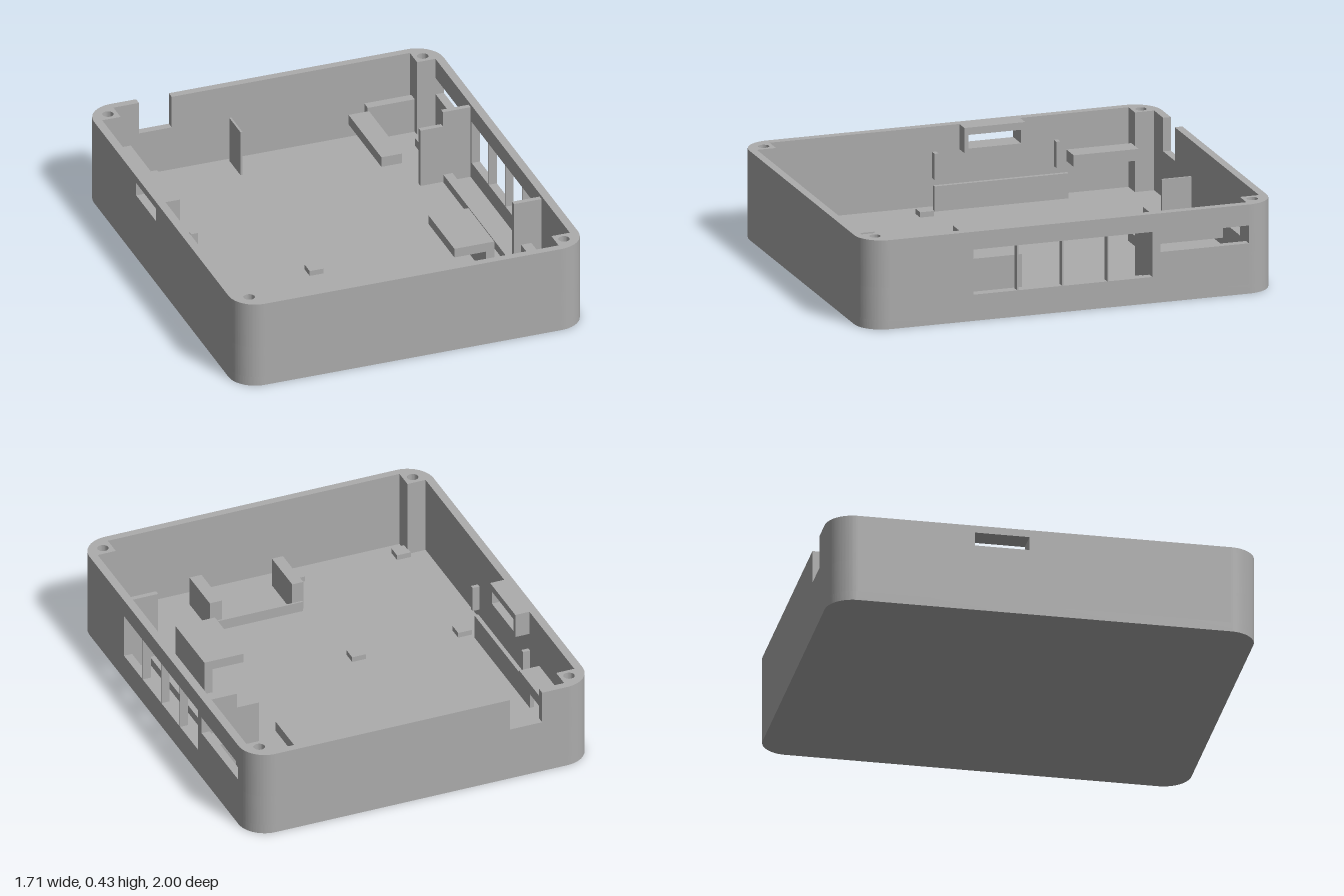
import * as THREE from 'three';
import { toCreasedNormals } from 'three/addons/utils/BufferGeometryUtils.js';

const HALF_X = 0.855, HALF_Z = 1, TOP = 0.425, FLOOR = 0.045, CORNER = 0.13;

function rectangle(target, x0, y0, x1, y1) {
  target.moveTo(x0, y0);
  target.lineTo(x1, y0);
  target.lineTo(x1, y1);
  target.lineTo(x0, y1);
  target.closePath();
  return target;
}

function extrude(shape, depth) {
  const geometry = new THREE.ExtrudeGeometry(shape, { depth, bevelEnabled: false, curveSegments: 16 });
  return toCreasedNormals(geometry, 0.5);
}

export function createModel() {
  const model = new THREE.Group();
  model.name = 'electronicsCase';
  const grey = new THREE.MeshStandardMaterial({ color: 0xacacac });
  grey.name = 'grey plastic';

  function add(name, geometry, parent = model) {
    const mesh = new THREE.Mesh(geometry, grey);
    mesh.name = name;
    parent.add(mesh);
    return mesh;
  }

  // Box given by its limits on each axis
  function block(name, x0, x1, y0, y1, z0, z1) {
    const mesh = add(name, new THREE.BoxGeometry(x1 - x0, y1 - y0, z1 - z0));
    mesh.position.set((x0 + x1) / 2, (y0 + y1) / 2, (z0 + z1) / 2);
    return mesh;
  }

  // Side panel drawn as (z, y), with rectangular openings, between two x values
  function sidePanel(name, x0, x1, outline, openings) {
    const shape = rectangle(new THREE.Shape(), ...outline);
    for (const o of openings) shape.holes.push(rectangle(new THREE.Path(), ...o));
    const geometry = extrude(shape, x1 - x0);
    geometry.rotateY(-Math.PI / 2);
    add(name, geometry).position.x = x1;
  }

  // Floor with rounded corners
  const floor = new THREE.Shape();
  const cx = HALF_X - CORNER, cz = HALF_Z - CORNER;
  floor.absarc(cx, cz, CORNER, 0, Math.PI / 2);
  floor.absarc(-cx, cz, CORNER, Math.PI / 2, Math.PI);
  floor.absarc(-cx, -cz, CORNER, Math.PI, Math.PI * 1.5);
  floor.absarc(cx, -cz, CORNER, Math.PI * 1.5, Math.PI * 2);
  floor.closePath();
  add('floor', extrude(floor, FLOOR).rotateX(-Math.PI / 2));

  // Rounded corner posts with screw holes in the upper half
  function cornerShape(withHole) {
    const s = new THREE.Shape();
    s.moveTo(0, 0);
    s.lineTo(CORNER, 0);
    s.absarc(0, 0, CORNER, 0, Math.PI / 2);
    s.lineTo(0, 0);
    if (withHole) s.holes.push(new THREE.Path().absarc(0.045, 0.045, 0.026, 0, Math.PI * 2, true));
    return s;
  }
  const holeBottom = 0.2;
  const lower = extrude(cornerShape(false), holeBottom - FLOOR).rotateX(-Math.PI / 2);
  const upper = extrude(cornerShape(true), TOP - holeBottom).rotateX(-Math.PI / 2);
  [[1, -1], [-1, -1], [-1, 1], [1, 1]].forEach(([sx, sz], i) => {
    const post = new THREE.Group();
    post.name = 'cornerPost';
    post.position.set(sx * cx, 0, sz * cz);
    post.rotation.y = i * Math.PI / 2;
    add('cornerPostBase', lower, post).position.y = FLOOR;
    add('cornerPostSocket', upper, post).position.y = holeBottom;
    model.add(post);
  });

  // Front wall, and back wall with an open cable notch
  block('frontWall', -cx, cx, FLOOR, TOP, 0.963, 1);
  const back = new THREE.Shape([
    [-cx, FLOOR], [cx, FLOOR], [cx, TOP], [-0.44, TOP],
    [-0.44, 0.265], [-0.6, 0.265], [-0.6, TOP], [-cx, TOP],
  ].map(([x, y]) => new THREE.Vector2(x, y)));
  add('backWall', extrude(back, 0.037)).position.z = -1;

  // Left wall with four large port openings and one long slot
  const ports = [[-0.868, 0.24, -0.44, 0.325]];
  for (let i = 0; i < 4; i++) {
    const z = -0.4 + i * 0.2185;
    ports.push([z, 0.125, z + 0.2125, 0.34]);
  }
  const wall = [-cz, FLOOR, cz, TOP];
  sidePanel('portWall', 0.815, HALF_X, wall, ports);

  // Right wall with one window and its thick inner frame
  const opening = [-0.325, 0.325, -0.07, 0.39];
  sidePanel('windowWall', -HALF_X, -0.815, wall, [opening]);
  sidePanel('windowFrame', -0.815, -0.745, [-0.345, 0.305, -0.05, TOP], [opening]);

  // Square standoff pads on the floor
  for (const x of [-0.695, -0.168])
    for (const z of [0.16, 0.875])
      block('standoffPad', x - 0.034, x + 0.034, FLOOR, 0.07, z - 0.034, z + 0.034);

  // Rail, clips and shelf along the right wall
  block('rightRail', -0.75, -0.73, FLOOR, 0.165, -0.55, 0.1);
  block('railClip', -0.75, -0.715, 0.2, 0.325, 0.085, 0.105);
  block('railClip', -0.75, -0.715, 0.2, 0.325, -0.505, -0.485);
  block('rightShelf', -0.775, -0.675, 0.21, 0.265, -0.87, -0.555);

  // Upright fin near the back
  block('backFin', -0.165, -0.155, FLOOR, 0.27, -0.945, -0.8);

  // Rails and partitions beside the port wall
  block('portRail', 0.68, 0.725, FLOOR, 0.085, -0.41, 0.47);
  block('slotRail', 0.68, 0.7, FLOOR, 0.085, -0.78, -0.415);
  block('frontPartition', 0.68, 0.815, FLOOR, 0.41, 0.48, 0.505);
  block('backPartition', 0.68, 0.815, FLOOR, 0.41, -0.44, -0.415);
  block('backPartitionStep', 0.57, 0.68, FLOOR, 0.335, -0.44, -0.415);
  block('slotSupport', 0.73, 0.815, FLOOR, 0.23, -0.55, -0.445);
  block('cornerSupport', 0.495, 0.725, FLOOR, 0.215, -0.945, -0.9);
  block('backShelf', 0.39, 0.49, 0.165, 0.215, -0.87, -0.445);

  // Table-like bracket: a shelf on one thin leg
  block('bracketShelf', 0.4, 0.595, 0.17, 0.215, 0.14, 0.475);
  block('bracketLeg', 0.555, 0.595, FLOOR, 0.17, 0.14, 0.475);

  // Support blocks and low ridge at the front
  for (const [x0, x1, z0] of [[-0.105, -0.05, 0.63], [0.3, 0.36, 0.63], [0.715, 0.765, 0.505]])
    block('frontSupport', x0, x1, FLOOR, 0.19, z0, 0.868);
  block('frontRidge', -0.095, 0.5, FLOOR, 0.095, 0.612, 0.621);

  return model;
}
